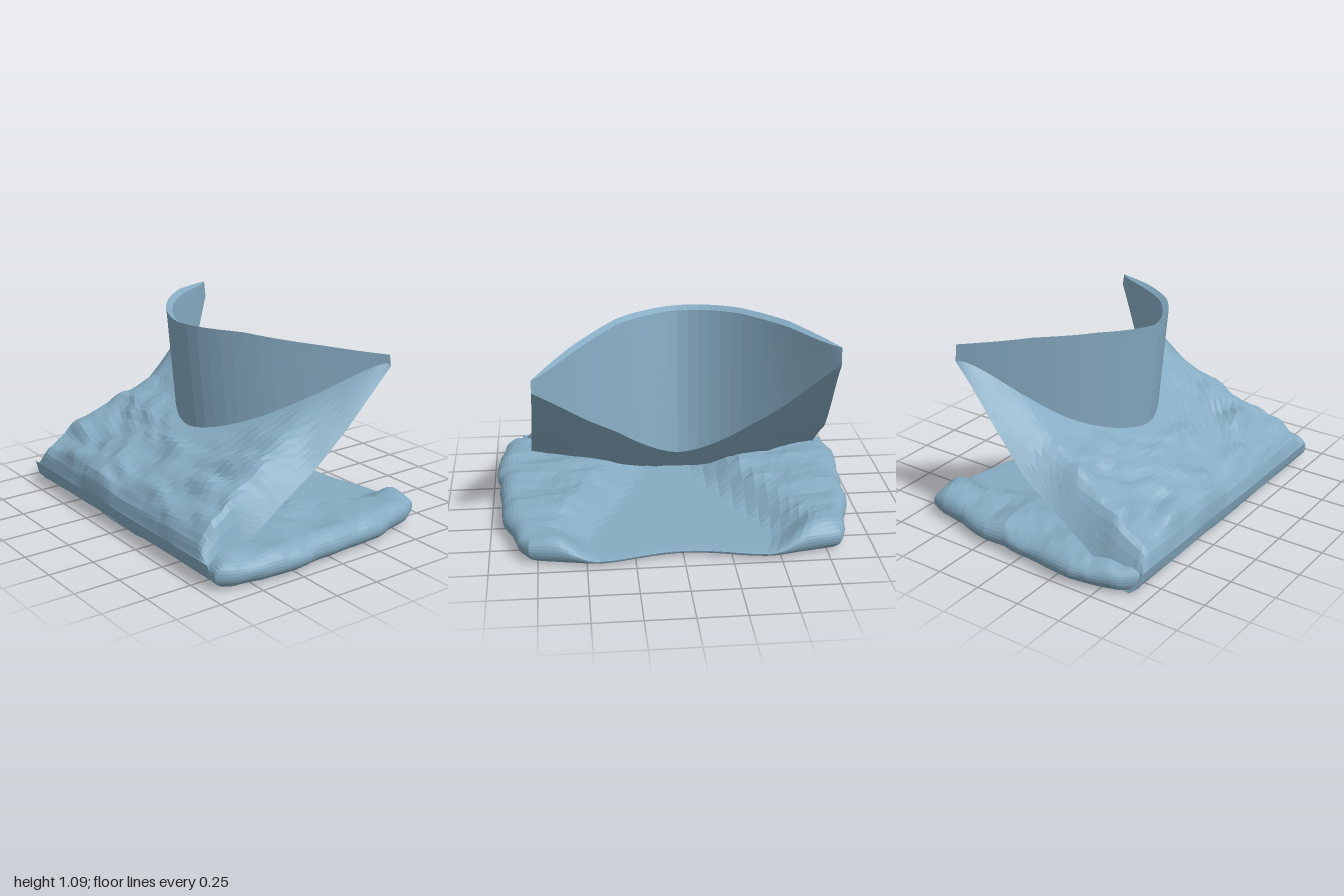
import * as THREE from 'three';

const material = new THREE.MeshStandardMaterial({ color: 0x86abc2, flatShading: true, side: THREE.DoubleSide });
const { lerp, clamp, smoothstep } = THREE.MathUtils;

// piecewise linear curve through [position, value] points
function curve(points, p) {
  if (p <= points[0][0]) return points[0][1];
  for (let i = 1; i < points.length; i++) {
    const [a, va] = points[i - 1], [b, vb] = points[i];
    if (p <= b) return lerp(va, vb, (p - a) / (b - a));
  }
  return points[points.length - 1][1];
}

// repeatable smooth noise in -1..1
function hash(i, j) {
  const s = Math.sin(i * 127.1 + j * 311.7) * 43758.5453;
  return 2 * (s - Math.floor(s)) - 1;
}
function noise(x, y) {
  const i = Math.floor(x), j = Math.floor(y);
  const u = smoothstep(x - i, 0, 1), v = smoothstep(y - j, 0, 1);
  return lerp(lerp(hash(i, j), hash(i + 1, j), u), lerp(hash(i, j + 1), hash(i + 1, j + 1), u), v);
}

// uneven crumple pattern, longer across x than along z
const crumple = (x, z) => 0.65 * noise(4 * x + 9, 11 * z + 2 * x) + 0.35 * noise(10 * x, 18 * z - 4 * x);

// mesh from a grid of points given by a rule point(u, v) with u, v in 0..1
function surface(name, nu, nv, point) {
  const positions = [], index = [];
  for (let j = 0; j <= nv; j++) {
    for (let i = 0; i <= nu; i++) positions.push(...point(i / nu, j / nv));
  }
  for (let j = 0; j < nv; j++) {
    for (let i = 0; i < nu; i++) {
      const a = j * (nu + 1) + i, b = a + 1, c = a + nu + 1, d = c + 1;
      index.push(a, c, b, b, c, d);
    }
  }
  const geometry = new THREE.BufferGeometry();
  geometry.setAttribute('position', new THREE.Float32BufferAttribute(positions, 3));
  geometry.setIndex(index);
  geometry.computeVertexNormals();
  const mesh = new THREE.Mesh(geometry, material);
  mesh.name = name;
  return mesh;
}

// spreads samples towards both ends, giving -1..1
const spread = (t) => Math.sin((t - 0.5) * Math.PI);

// Base: flat floor with padded rolls along the sides and front
const baseHalfWidth = [[-0.73, 0.77], [-0.66, 0.82], [-0.58, 0.87], [-0.3, 0.925], [0, 0.955], [0.45, 0.985], [0.6, 0.95], [0.71, 0.87]];

function basePoint(s, t, top) {
  const u = spread(s), v = spread(t);
  const back = -0.65 - 0.075 * Math.sin(Math.PI * Math.min(Math.abs(u) / 1.2, 1)) ** 2;
  const z = lerp(back, 0.7 - 0.02 * (1 - u * u), (v + 1) / 2);
  const x = u * curve(baseHalfWidth, z);
  // distance to the rim, turned into a rounded edge
  const d = Math.min(1 - Math.abs(u), 0.8 * (1 - Math.abs(v)));
  const round = Math.sqrt(1 - (1 - clamp(d / 0.1, 0, 1)) ** 2);
  // the floor widens towards the back
  const floorHalf = curve([[-0.7, 0.46], [-0.5, 0.5], [0.1, 0.24], [0.4, 0.15]], z);
  const roll = smoothstep(Math.abs(x), floorHalf - 0.03, floorHalf + 0.2);
  const edgeY = lerp(0.045, 0.09, roll);
  const bump = crumple(x, z) * 0.025 * roll * round;
  const y = top
    ? lerp(edgeY, lerp(0.05, 0.16, roll), round) + bump
    : lerp(edgeY, 0.012, round) + 0.3 * Math.abs(bump);
  return [x + 0.02 * noise(9 * z, 3 * u) * Math.abs(u) ** 6, y, z];
}

// Leaning panel: outlines of its upper and lower faces, from back to front
const topLine = [[-0.52, 0.95], [-0.2, 0.735], [0, 0.61], [0.2, 0.495], [0.45, 0.38], [0.6, 0.3], [0.67, 0.255], [0.7, 0.21], [0.715, 0.14]];
const lowMiddle = [[-0.52, 0.9], [-0.2, 0.59], [-0.05, 0.46], [0.2, 0.17], [0.3, 0.08], [0.5, 0.02], [0.65, 0.02], [0.695, 0.06], [0.715, 0.14]];
const lowEdge = [[-0.52, 0.9], [-0.2, 0.6], [0, 0.44], [0.2, 0.32], [0.42, 0.17], [0.55, 0.04], [0.65, 0.02], [0.695, 0.06], [0.715, 0.14]];
// where the upper face starts to slope down to the side edges
const shoulder = [[-0.5, 0.97], [-0.2, 0.73], [0, 0.7], [0.2, 0.8], [0.5, 0.88]];
const leftSide = [[-0.5, 0.75], [0.45, 0.785], [0.6, 0.83], [0.71, 0.84]];
const rightSide = [[-0.5, -0.82], [0.2, -0.87], [0.55, -0.89], [0.71, -0.88]];

const across = (u, z) => lerp(curve(rightSide, z), curve(leftSide, z), (u + 1) / 2);
const bow = (u) => Math.abs(u) ** 1.7;
const creaseZ = (u) => 0.21 - 0.69 * bow(u) - 0.03 * u;
const lowZ = (u) => creaseZ(u) - 0.08 * (1 - u ** 4);

function panelHeight(u, z, top) {
  // the right corner is lifted
  const lift = 0.125 * (1 - u) / 2 * smoothstep(-z, -0.1, 0.45);
  const low = lerp(curve(lowMiddle, z), curve(lowEdge, z), bow(u)) + lift;
  if (!top) return low;
  const start = curve(shoulder, z);
  const slope = clamp((Math.abs(u) - start) / (1 - start), 0, 1);
  return lerp(curve(topLine, z) + lift, low, slope ** 1.6);
}

function panelPoint(s, t, top) {
  const u = spread(s);
  const z = lerp(top ? creaseZ(u) : lowZ(u), 0.715, Math.sin(t * Math.PI / 2));
  const x = across(u, z);
  // folds are strongest on the lower half of the upper face
  const fade = Math.min(1, 6 * t) * Math.min(1, 4 * (1 - t)) * (1 - Math.abs(u) ** 8);
  const fold = crumple(x, z) * fade * (top ? 0.04 * smoothstep(z, -0.3, 0.25) : 0.012);
  return [x, panelHeight(u, z, top) + fold, z + fold * 0.5];
}

// Collar: upright bowed wall, outer face from the crease to the rim, then down the inner face
const rimLine = [[-1, 1.055], [-0.7, 1.095], [-0.4, 1.1], [0, 1.077], [0.4, 1.07], [0.75, 1.01], [1, 0.955]];

function collarPoint(s, t) {
  const u = spread(s);
  const rimZ = 0.27 - 0.74 * bow(u) - 0.03 * u;
  const rimY = curve(rimLine, u);
  const taper = 1 - u ** 8;
  const outline = [
    [0, creaseZ(u), panelHeight(u, creaseZ(u), true)],
    [0.45, rimZ, rimY],
    [0.5, rimZ - (0.035 + 0.04 * u * u) * taper, rimY - 0.02 * taper],
    [1, lowZ(u), panelHeight(u, lowZ(u), false)],
  ];
  const z = curve(outline.map(([k, pz]) => [k, pz]), t);
  const y = curve(outline.map(([k, , py]) => [k, py]), t);
  return [across(u, z), y, z];
}

export function createModel() {
  const model = new THREE.Group();
  model.name = 'foldedPouch';

  const base = new THREE.Group();
  base.name = 'base';
  base.add(surface('baseTop', 44, 36, (s, t) => basePoint(s, t, true)));
  base.add(surface('baseUnderside', 44, 36, (s, t) => basePoint(s, t, false)));

  const panel = new THREE.Group();
  panel.name = 'leaningPanel';
  panel.add(surface('panelFront', 44, 32, (s, t) => panelPoint(s, t, true)));
  panel.add(surface('panelBack', 44, 28, (s, t) => panelPoint(s, t, false)));

  model.add(base, panel, surface('collar', 44, 20, collarPoint));
  return model;
}
